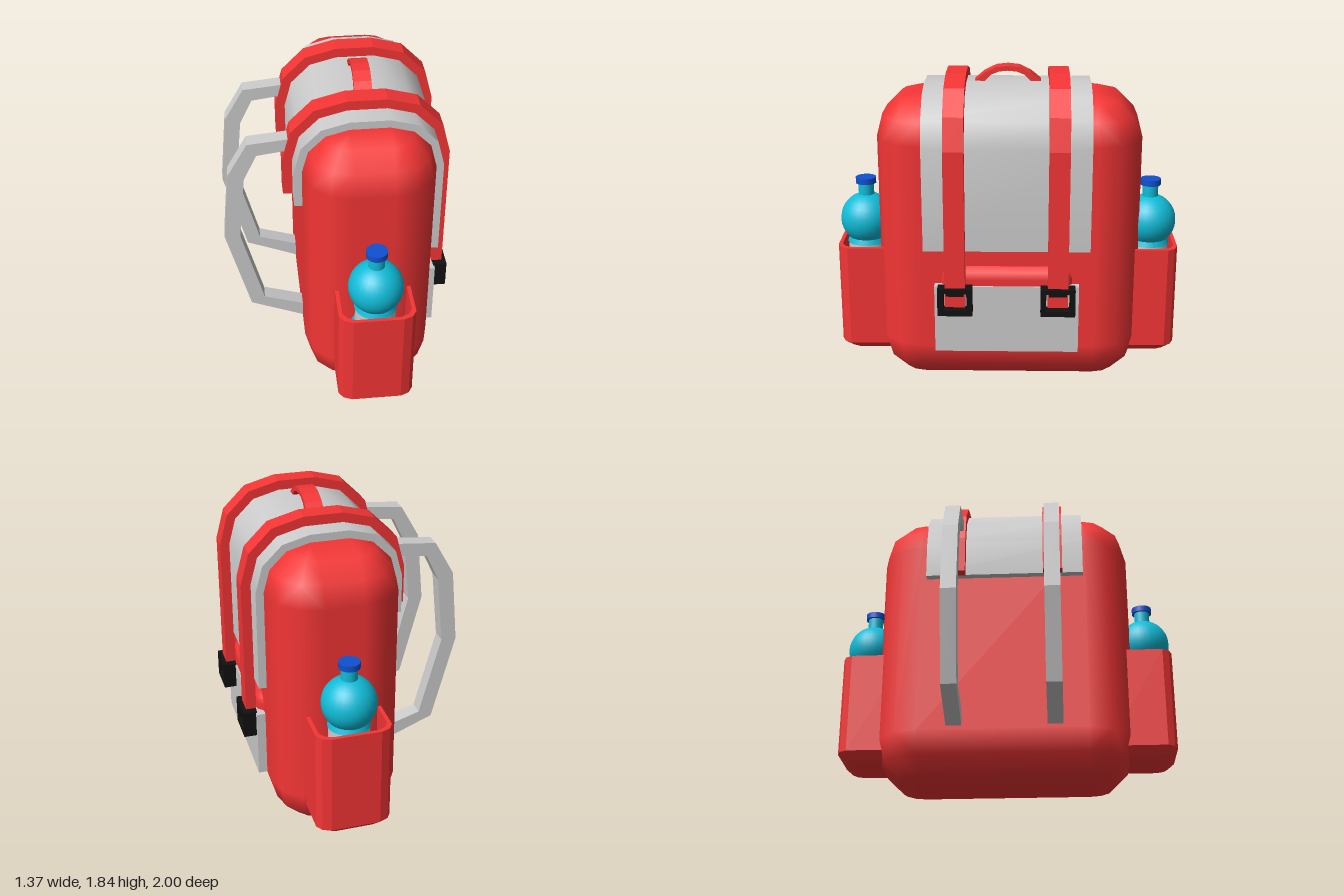
import * as THREE from 'three';
import { toCreasedNormals } from 'three/addons/utils/BufferGeometryUtils.js';
import { ConvexGeometry } from 'three/addons/geometries/ConvexGeometry.js';

const mat = (color, flatShading = false) => new THREE.MeshStandardMaterial({ color, flatShading });
const RED = 0xf43535, GREY = 0xcccccc, BLACK = 0x111111, TEAL = 0x10bcd8, BLUE = 0x1050d0;

function add(parent, name, geometry, material, x = 0, y = 0, z = 0) {
  const mesh = new THREE.Mesh(geometry, material);
  mesh.name = name;
  mesh.position.set(x, y, z);
  parent.add(mesh);
  return mesh;
}

const toShape = (pts) => new THREE.Shape(pts.map(([x, y]) => new THREE.Vector2(x, y)));

// Extrude a profile along z, centred on z = 0
function slab(shape, depth) {
  const g = new THREE.ExtrudeGeometry(shape, { depth, bevelEnabled: false });
  return g.translate(0, 0, -depth / 2);
}

// Box with rounded corners of three facets, shaded smoothly
function softBox(w, h, d, r) {
  const core = new THREE.Vector3(w / 2 - r, h / 2 - r, d / 2 - r);
  const pts = [];
  for (const sx of [-1, 1]) for (const sy of [-1, 1]) for (const sz of [-1, 1])
    for (let i = 0; i <= 3; i++) for (let j = 0; j <= (i ? 3 : 0); j++) {
      const t = i * Math.PI / 6, p = j * Math.PI / 6;
      pts.push(new THREE.Vector3(
        sx * (core.x + r * Math.sin(t) * Math.cos(p)),
        sy * (core.y + r * Math.cos(t)),
        sz * (core.z + r * Math.sin(t) * Math.sin(p))));
    }
  const g = new ConvexGeometry(pts);
  const pos = g.attributes.position, nor = g.attributes.normal;
  const v = new THREE.Vector3(), c = new THREE.Vector3(), low = core.clone().negate();
  for (let i = 0; i < pos.count; i++) {
    v.fromBufferAttribute(pos, i);
    c.copy(v).clamp(low, core);
    v.sub(c).normalize();
    nor.setXYZ(i, v.x, v.y, v.z);
  }
  return g;
}

// Line over the top of the bag at a given distance from the body
function overTop(o, leftY, rightY) {
  const w = 0.37 + o, top = 1.71 + o, r = 0.26 + o, pts = [[-w, leftY]];
  for (const [cx, a0] of [[r - w, Math.PI], [w - r, Math.PI / 2]])
    for (let i = 0; i <= 3; i++) {
      const a = a0 - i * Math.PI / 6;
      pts.push([cx + r * Math.cos(a), top - r + r * Math.sin(a)]);
    }
  pts.push([w, rightY]);
  return pts;
}
const band = (inner, outer, leftY, rightY, depth) =>
  slab(toShape([...overTop(outer, leftY, rightY), ...overTop(inner, leftY, rightY).reverse()]), depth);

// Open side pocket: rings run up the outside, over the rim and down the inside
function pocketGeometry() {
  const half = [[0.215, 0.6], [0.215, 0.93], [0.19, 0.97], [0.14, 0.99]];
  const plan = [...half.map(([x, z]) => [-x, z]), ...[...half].reverse()];
  const rings = [[0.14, 0.215], [0.14, 0.09], [0.155, 0.045], [0.2, 0], [0.8, 0],
    [0.8, 0.022], [0.2, 0.022], [0.2, 0.215]];
  const pos = [], index = [], n = plan.length;
  for (const [y, inset] of rings)
    for (const [x, z] of plan) pos.push(x * (1 - inset / 0.215), y, z > 0.7 ? z - inset : z);
  for (let k = 0; k < rings.length - 1; k++)
    for (let i = 0; i < n; i++) {
      const a = k * n + i, b = k * n + (i + 1) % n;
      index.push(a, b, b + n, a, b + n, a + n);
    }
  const g = new THREE.BufferGeometry();
  g.setAttribute('position', new THREE.Float32BufferAttribute(pos, 3));
  g.setIndex(index);
  g.computeVertexNormals();
  return g;
}

function createBottle() {
  const bottle = new THREE.Group();
  bottle.name = 'bottle';
  const teal = mat(TEAL);
  add(bottle, 'bottleLowerBulb', new THREE.SphereGeometry(0.153, 24, 16), teal, 0, 0.57);
  add(bottle, 'bottleFoot', new THREE.CylinderGeometry(0.11, 0.11, 0.26, 24), teal, 0, 0.34);
  add(bottle, 'bottleBand', new THREE.CylinderGeometry(0.115, 0.115, 0.12, 24), mat(GREY), 0, 0.72);
  add(bottle, 'bottleRing', new THREE.CylinderGeometry(0.108, 0.12, 0.035, 24), teal, 0, 0.797);
  add(bottle, 'bottleUpperBulb', new THREE.SphereGeometry(0.155, 24, 16), teal, 0, 0.92);
  add(bottle, 'bottleNeck', new THREE.CylinderGeometry(0.046, 0.046, 0.1, 20), teal, 0, 1.1);
  add(bottle, 'bottleCap', new THREE.CylinderGeometry(0.06, 0.06, 0.035, 20), mat(BLUE), 0, 1.153);
  return bottle;
}

export function createModel() {
  const model = new THREE.Group();
  model.name = 'backpack';
  const bag = new THREE.Group();
  bag.name = 'bag';
  bag.position.x = 0.155;
  bag.rotation.y = -0.087;
  model.add(bag);
  const red = mat(RED), flatRed = mat(RED, true), grey = mat(GREY), flatGrey = mat(GREY, true);
  const black = mat(BLACK, true);

  add(bag, 'body', softBox(0.74, 1.71, 1.51, 0.26), red, 0, 0.855, -0.01);
  add(bag, 'lid', toCreasedNormals(band(-0.01, 0.045, 1.225, 0.86, 0.94), 0.6), grey);

  // Large pocket with its padded red top
  add(bag, 'largePocket', new THREE.BoxGeometry(0.1, 0.4, 0.82), flatGrey, 0.37, 0.45, 0);
  add(bag, 'largePocketTop', softBox(0.18, 0.45, 0.77, 0.085), red, 0.32, 0.545, 0);

  // Carry handle
  const side = [[0.2, 1.745], [0.13, 1.802], [0.065, 1.833], [0, 1.84]];
  const under = [[0, 1.813], [0.05, 1.808], [0.095, 1.79], [0.14, 1.745]];
  const flip = (pts) => pts.map(([x, y]) => [-x, y]).reverse();
  const handle = toShape([...side, ...flip(side).slice(1), ...flip(under), ...under.slice(1)].reverse());
  add(bag, 'carryHandle', slab(handle, 0.1).rotateY(Math.PI / 2), flatRed);

  const shoulder = toShape([
    [-0.35, 1.59], [-0.66, 1.56], [-0.775, 1.36], [-0.815, 0.93], [-0.68, 0.41], [-0.35, 0.275],
    [-0.35, 0.37], [-0.6, 0.45], [-0.725, 0.93], [-0.685, 1.33], [-0.61, 1.485], [-0.35, 1.52]]);

  const frame = toShape([[-0.098, 0.5], [0.098, 0.5], [0.098, 0.66], [-0.098, 0.66]]);
  frame.holes.push(toShape([[-0.066, 0.532], [-0.066, 0.635], [0.066, 0.635], [0.066, 0.532]]));

  for (const s of [1, -1]) {
    // Lid strap, its buckle and the shoulder strap behind it
    const z = s * 0.29;
    add(bag, 'lidStrap', band(0.04, 0.1, 1.225, 0.545, 0.115), flatRed, 0, 0, z);
    add(bag, 'buckleFrame', slab(frame, 0.08).rotateY(Math.PI / 2), black, 0.454, 0, z);
    add(bag, 'buckleBar', new THREE.BoxGeometry(0.07, 0.025, 0.1), black, 0.455, 0.63, z);
    add(bag, 'shoulderStrap', slab(shoulder, 0.09), flatGrey, 0, 0, z);

    // Bottle pocket at each end
    const end = new THREE.Group();
    end.name = 'bottlePocket';
    end.rotation.y = s > 0 ? 0 : Math.PI;
    add(end, 'pocketShell', pocketGeometry(), flatRed);
    const bottle = createBottle();
    bottle.position.z = 0.836;
    end.add(bottle);
    bag.add(end);
  }
  return model;
}
